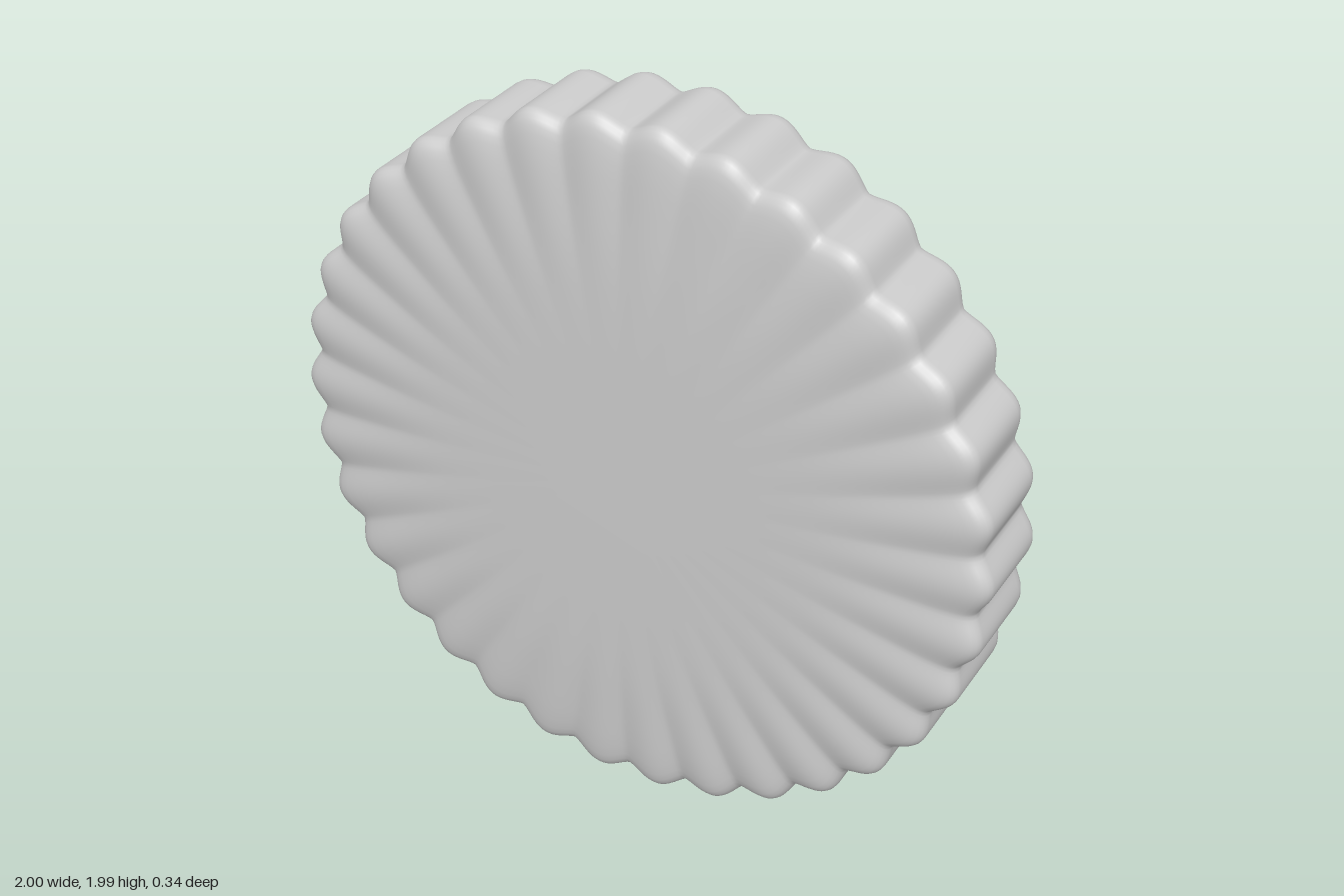
import * as THREE from 'three';
import { mergeVertices } from 'three/addons/utils/BufferGeometryUtils.js';

const LOBES = 34;
const DEPTH = 0.035; // radial depth of a scallop
const CENTER_Y = Math.cos(Math.PI / LOBES);

// Half cross-section [radius, z] from the flat back to the gently domed front
const PROFILE = [
  [0, -0.172], [0.4, -0.172], [0.75, -0.172], [0.88, -0.172], [0.93, -0.172], [0.96, -0.17],
  [0.98, -0.164], [0.992, -0.153], [0.998, -0.138], [1, -0.12], [1, 0], [1, 0.1],
  [0.998, 0.112], [0.992, 0.123], [0.982, 0.132], [0.967, 0.139], [0.945, 0.144], [0.91, 0.149],
  [0.86, 0.153], [0.8, 0.156], [0.73, 0.159], [0.65, 0.162], [0.55, 0.164], [0.4, 0.166],
  [0.2, 0.167], [0, 0.167],
];

function scallopedDisc() {
  const points = PROFILE.map(([r, z]) => new THREE.Vector2(r, z));
  let geo = new THREE.LatheGeometry(points, LOBES * 16);
  geo.rotateX(Math.PI / 2); // turn the axis to face +z
  geo.deleteAttribute('normal');
  geo.deleteAttribute('uv');

  const pos = geo.attributes.position;
  for (let i = 0; i < pos.count; i++) {
    const x = pos.getX(i), y = pos.getY(i), z = pos.getZ(i);
    const r = Math.hypot(x, y);
    if (r < 1e-6) continue;
    // Rounded lobes with narrower valleys
    const wave = 0.5 + 0.5 * Math.cos(LOBES * Math.atan2(y, x));
    const valley = 1 - Math.pow(wave, 0.7);
    // Pull the rim inwards; flutes fade towards the middle of the front
    const rim = THREE.MathUtils.smoothstep(r, 0.6, 0.97);
    const k = 1 - DEPTH * valley * rim;
    const flute = z > 0.1 ? 0.009 * valley * THREE.MathUtils.smoothstep(r, 0.45, 0.95) : 0;
    pos.setXYZ(i, x * k, y * k, z - flute);
  }
  geo = mergeVertices(geo, 1e-5);
  geo.computeVertexNormals();
  return geo;
}

export function createModel() {
  const group = new THREE.Group();
  group.name = 'scallopedCap';
  const disc = new THREE.Mesh(
    scallopedDisc(),
    new THREE.MeshStandardMaterial({ color: 0xcccccc })
  );
  disc.name = 'scallopedDisc';
  disc.position.y = CENTER_Y;
  group.add(disc);
  return group;
}
